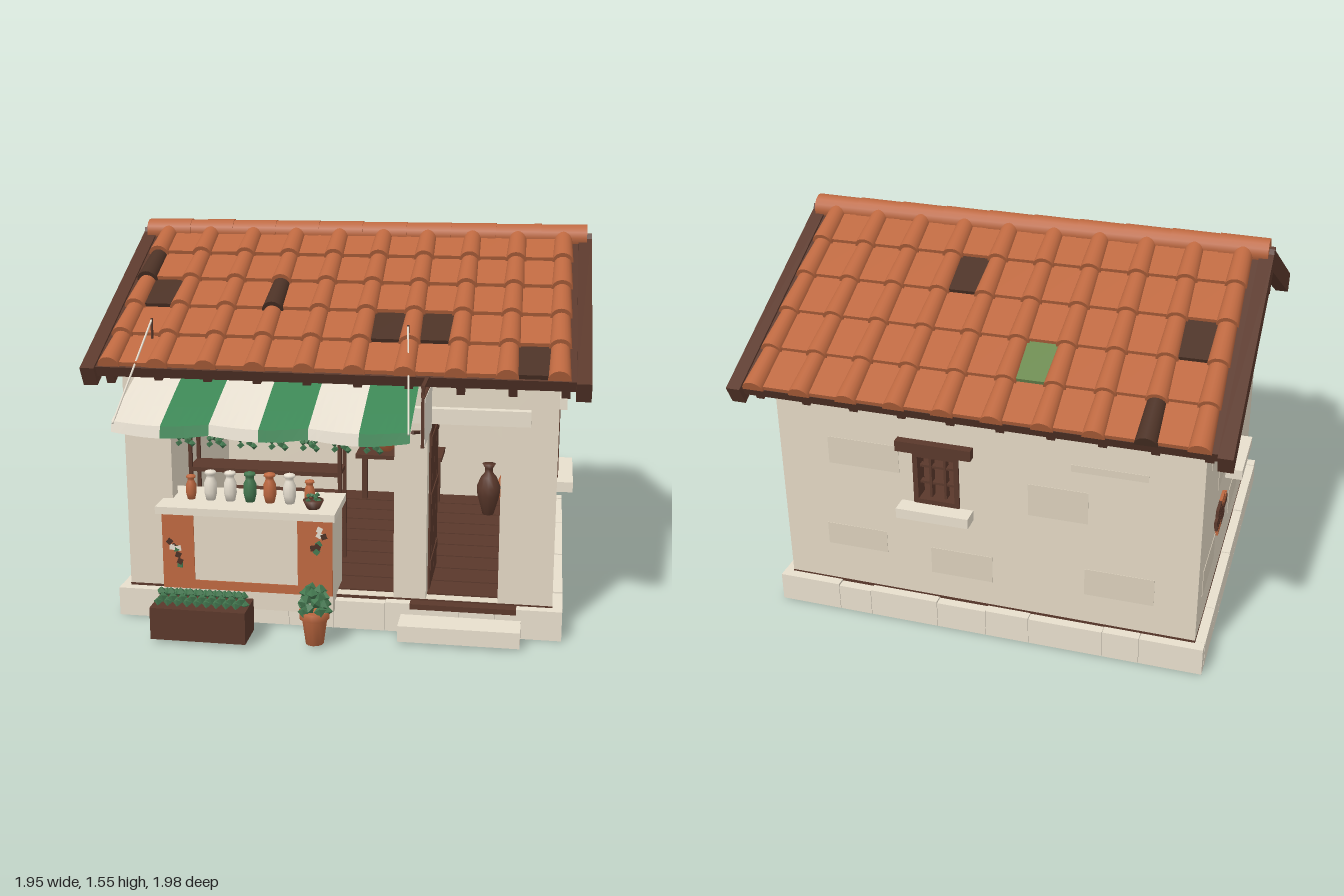
import * as THREE from 'three';

const mat = (name, color, side = THREE.FrontSide) => {
  const m = new THREE.MeshStandardMaterial({ color, side });
  m.name = name;
  return m;
};

export function createModel() {
  const plaster = mat('plaster', 0xe2d7c3), patch = mat('plaster patch', 0xdacfbb), stone = mat('stone', 0xe7decc);
  const cloth = mat('cream cloth', 0xe6decf, THREE.DoubleSide), green = mat('green cloth', 0x3c8655, THREE.DoubleSide);
  const tile = mat('terracotta', 0xbd6840, THREE.DoubleSide), burnt = mat('dark tile', 0x4c3226, THREE.DoubleSide);
  const wood = mat('wood', 0x5a382b), leaf = mat('leaf', 0x447850), moss = mat('mossy tile', 0x6c8a50);

  const model = new THREE.Group();
  model.name = 'tiledShop';
  const group = (name, parent = model) => {
    const g = new THREE.Group();
    g.name = name;
    parent.add(g);
    return g;
  };
  const add = (parent, name, geo, m, x = 0, y = 0, z = 0) => {
    const o = new THREE.Mesh(geo, m);
    o.name = name;
    o.position.set(x, y, z);
    parent.add(o);
    return o;
  };
  // Box given by its limits on each axis
  const box = (p, name, m, x0, x1, y0, y1, z0, z1) =>
    add(p, name, new THREE.BoxGeometry(x1 - x0, y1 - y0, z1 - z0), m, (x0 + x1) / 2, (y0 + y1) / 2, (z0 + z1) / 2);
  const rod = (p, name, m, a, b, r) => {
    const A = new THREE.Vector3(...a), B = new THREE.Vector3(...b);
    const o = add(p, name, new THREE.CylinderGeometry(r, r, A.distanceTo(B), 6), m);
    o.position.copy(A).lerp(B, 0.5);
    o.quaternion.setFromUnitVectors(new THREE.Vector3(0, 1, 0), B.sub(A).normalize());
    return o;
  };
  const lathe = (p, name, m, pts, x, y, z, s = 1) =>
    add(p, name, new THREE.LatheGeometry(pts.map(([r, h]) => new THREE.Vector2(r * s, h * s)), 12), m, x, y, z);
  let seed = 7;
  const rnd = () => (seed = (seed * 16807) % 2147483647) / 2147483647;

  // Plinth stones around a raised floor
  const base = group('plinth');
  const stones = (a, b, n, put) => {
    for (let i = 0; i < n; i++) {
      const cut = k => a + (b - a) * (k + (k > 0 && k < n ? 0.2 * Math.sin(k * 2.4) : 0)) / n;
      put(cut(i) + 0.001, cut(i + 1) - 0.001, 0.118 + 0.004 * Math.sin(i * 3));
    }
  };
  for (const [z0, z1] of [[0.62, 0.67], [-0.84, -0.79]])
    stones(-0.9, 0.9, 8, (a, b, h) => box(base, 'plinthStone', stone, a, b, 0, h, z0, z1));
  for (const x0 of [-0.9, 0.85])
    stones(-0.79, 0.62, 7, (a, b, h) => box(base, 'plinthStone', stone, x0, x0 + 0.05, 0, h, a, b));
  box(base, 'floor', burnt, -0.852, 0.852, 0.07, 0.115, -0.792, 0.622);
  box(base, 'floorEdge', wood, -0.861, 0.861, 0.115, 0.128, -0.801, 0.631);
  for (let i = 0; i < 9; i++)
    box(base, 'floorBoard', wood, -0.78, 0.78, 0.127, 0.136, -0.72 + i * 0.146, -0.585 + i * 0.146);
  box(base, 'doorStep', stone, 0.265, 0.74, 0.01, 0.075, 0.67, 0.79);
  box(base, 'threshold', wood, 0.3, 0.72, 0.1, 0.122, 0.62, 0.676);

  // Walls with openings
  const walls = group('walls');
  const wall = (name, outline, holes) => {
    const s = new THREE.Shape(outline.map(p => new THREE.Vector2(...p)));
    for (const [u0, u1, v0, v1] of holes)
      s.holes.push(new THREE.Path([[u0, v0], [u0, v1], [u1, v1], [u1, v0]].map(p => new THREE.Vector2(...p))));
    return add(walls, name, new THREE.ExtrudeGeometry(s, { depth: 0.07, bevelEnabled: false }), plaster);
  };
  const flat = [[-0.86, 0.12], [0.86, 0.12], [0.86, 1.09], [-0.86, 1.09]];
  wall('frontWall', flat, [[-0.67, 0.23, 0.13, 0.9], [0.36, 0.645, 0.13, 0.86]]).position.z = 0.56;
  wall('backWall', flat, [[0.1, 0.29, 0.57, 0.8]]).position.z = -0.8;
  const gable = [[-0.8, 0.12], [0.63, 0.12], [0.63, 1.08], [-0.09, 1.455], [-0.8, 1.085]];
  for (const [name, x, hole] of [['rightGable', 0.86, [-0.11, 0.16, 0.515, 0.815]], ['leftGable', -0.79, [-0.15, 0.04, 0.57, 0.8]]]) {
    const w = wall(name, gable, [hole]);
    w.rotation.y = -Math.PI / 2;
    w.position.x = x;
  }
  for (const s of [-1, 1]) box(walls, 'gableBand', plaster, s * 0.87 - 0.015, s * 0.87 + 0.015, 1.07, 1.12, -0.79, 0.62);
  box(walls, 'doorLintel', stone, 0.27, 0.755, 0.86, 0.92, 0.62, 0.665);

  // Faint plaster patches
  for (const [u, v, w, h] of [[-0.55, 0.32, 0.28, 0.12], [-0.3, 0.66, 0.24, 0.14], [0.5, 0.75, 0.3, 0.12], [0.55, 0.35, 0.26, 0.1], [-0.5, 0.83, 0.3, 0.03], [0.1, 0.3, 0.26, 0.12]]) {
    box(walls, 'plasterPatch', patch, u - w / 2, u + w / 2, v - h / 2, v + h / 2, -0.802, -0.798);
    for (const x of [-0.86, 0.86]) if (u < 0.5)
      box(walls, 'plasterPatch', patch, x - 0.002, x + 0.002, v - h / 2, v + h / 2, u - w / 2, u + w / 2);
  }
  // Exposed bricks in the left wall
  for (let r = 0; r < 4; r++) for (let c = 0; c < 3 - (r % 3 === 0); c++) {
    const z = -0.46 + c * 0.086 + (r % 2) * 0.03 + (r === 0 ? 0.05 : 0);
    box(walls, 'exposedBrick', (r + c) % 4 ? wood : tile, -0.872, -0.85, 0.37 + r * 0.033, 0.4 + r * 0.033, z, z + 0.082);
  }

  // Windows
  const makeWindow = (name, x, z, turn, w, y0, y1, lintel, uprights, bars) => {
    const g = group(name);
    g.position.set(x, 0, z);
    g.rotation.y = turn;
    const h = w / 2, f = 0.02;
    for (const s of [-1, 1]) box(g, 'jamb', wood, s * (h - f / 2) - f / 2, s * (h - f / 2) + f / 2, y0, y1, -0.06, 0.008);
    box(g, 'frameBottom', wood, -h, h, y0, y0 + f, -0.06, 0.008);
    box(g, 'frameTop', wood, -h, h, y1 - f, y1, -0.06, 0.008);
    for (const [u, t] of uprights) box(g, 'mullion', wood, u - t, u + t, y0, y1, -0.05, -0.015);
    for (const k of bars) {
      const y = y0 + (y1 - y0) * k;
      box(g, 'glazingBar', wood, -h, h, y - 0.005, y + 0.005, -0.045, -0.02);
    }
    box(g, 'lintel', lintel, -h - 0.06, h + 0.06, y1 + 0.01, y1 + 0.055, -0.02, 0.035);
    box(g, 'sill', stone, -h - 0.055, h + 0.055, y0 - 0.045, y0 - 0.002, -0.02, 0.07);
  };
  const grid = [[-0.03, 0.005], [0.03, 0.005]];
  makeWindow('rightWindow', 0.86, 0.025, Math.PI / 2, 0.27, 0.515, 0.815, stone, [[0, 0.012]], []);
  makeWindow('leftWindow', -0.86, -0.055, -Math.PI / 2, 0.19, 0.57, 0.8, wood, grid, [0.36, 0.68]);
  makeWindow('backWindow', 0.195, -0.8, Math.PI, 0.19, 0.57, 0.8, wood, grid, [0.36, 0.68]);

  // Door leaf standing open inwards
  const door = group('openDoor');
  for (let i = 0; i < 4; i++) box(door, 'doorPlank', wood, 0.36, 0.368, 0.14, 0.84, 0.25 + i * 0.078, 0.324 + i * 0.078);
  for (const y of [0.22, 0.5, 0.74]) box(door, 'doorBrace', wood, 0.366, 0.372, y, y + 0.04, 0.26, 0.55);

  // Roof slopes: local z runs down the slope
  const roof = group('roof'), pitch = Math.atan(0.505), step = 0.192;
  const makeSlope = (name, back, darkPans, darkCovers) => {
    const turn = group(name, roof);
    turn.position.set(0, 1.5, -0.09);
    turn.rotation.y = back ? Math.PI : 0;
    const g = group('slope', turn);
    g.rotation.x = pitch;
    box(g, 'deck', wood, -0.94, 0.94, -0.045, 0, 0, 0.965);
    for (const s of [-1, 1]) box(g, 'rakeBoard', wood, s * 0.945 - 0.028, s * 0.945 + 0.028, -0.076, 0.008, -0.02, 0.985);
    for (let i = 0; i < 10; i++)
      box(g, 'rafterTail', wood, -0.896 + i * 0.1956, -0.864 + i * 0.1956, -0.1, -0.04, 0.7, 0.94);
    const pan = new THREE.BoxGeometry(0.15, 0.018, step + 0.02);
    const cover = new THREE.CylinderGeometry(0.036, 0.043, step + 0.014, 10, 1, false, -Math.PI / 2, Math.PI).rotateX(-Math.PI / 2);
    for (let c = 0; c < 10; c++) for (let r = 0; r < 5; r++) {
      const x = -0.855 + c * 0.19, s = 0.002 + (r + 0.5) * step, key = c + '-' + r;
      if (c < 9) add(g, 'panTile', pan, darkPans[key] || tile, x + 0.095, 0.014, s).rotation.x = -0.08;
      add(g, 'coverTile', cover, darkCovers[key] || tile, x, 0.013, s + 0.015).rotation.x = -0.06;
    }
  };
  makeSlope('frontSlope', false, { '0-2': burnt, '5-3': burnt, '6-3': burnt, '8-4': burnt }, { '0-1': burnt, '3-2': burnt });
  makeSlope('backSlope', true, { '8-2': burnt, '3-1': burnt, '5-3': moss }, { '8-4': burnt });
  for (let i = 0; i < 10; i++)
    add(roof, 'ridgeTile', new THREE.CylinderGeometry(0.05, 0.053, 0.195, 14).rotateZ(Math.PI / 2), tile, -0.855 + i * 0.19, 1.502, -0.09);

  // Striped awning: straight slope, then a scalloped front edge
  const awning = group('awning');
  const profile = [[0.635, 1.035], [0.75, 0.995], [0.87, 0.95], [0.98, 0.908], [0.99, 0.868]];
  for (let i = 0; i < 6; i++) {
    const geo = new THREE.PlaneGeometry(0.186, 1, 6, 4).toNonIndexed(), p = geo.attributes.position;
    for (let k = 0; k < p.count; k++) {
      const x = -0.693 + i * 0.186 + p.getX(k), row = Math.round((0.5 - p.getY(k)) * 4);
      const sag = 0.018 * Math.abs(Math.sin((x + 0.786) / 0.372 * Math.PI)) * row / 4;
      p.setXYZ(k, x, profile[row][1] - sag, profile[row][0]);
    }
    geo.computeVertexNormals();
    add(awning, 'awningStripe', geo, i % 2 ? green : cloth);
  }
  for (const [a, b] of [[-0.78, -0.73], [0.325, 0.28]]) {
    rod(awning, 'rope', cloth, [a, 0.9, 0.985], [b, 1.23, 0.63], 0.004);
    rod(awning, 'ropeHook', wood, [b, 1.15, 0.63], [b, 1.235, 0.63], 0.005);
    rod(awning, 'strut', wood, [a + 0.01, 0.82, 0.64], [a + 0.01, 0.9, 0.95], 0.007);
    box(awning, 'bracket', wood, a + 0.01, a + 0.03, 0.8, 1.02, 0.63, 0.652);
  }

  // Hanging sign, blank
  const sign = group('hangingSign');
  box(sign, 'signArm', wood, 0.363, 0.377, 1.06, 1.07, 0.63, 0.93);
  box(sign, 'signBoard', wood, 0.364, 0.376, 0.837, 1.025, 0.657, 0.933);
  box(sign, 'signPanel', cloth, 0.362, 0.378, 0.842, 1.02, 0.662, 0.928);
  for (const z of [0.7, 0.89]) rod(sign, 'signHook', wood, [0.37, 1.02, z], [0.37, 1.065, z], 0.004);

  // Counter
  const counter = group('counter');
  box(counter, 'counterBody', plaster, -0.69, 0, 0.08, 0.47, 0.5, 0.72);
  box(counter, 'counterTop', stone, -0.71, 0.012, 0.47, 0.5, 0.46, 0.745);
  for (const [a, b, y0, y1] of [[-0.69, -0.56, 0.155, 0.47], [-0.14, 0, 0.155, 0.47], [-0.56, -0.14, 0.155, 0.192]])
    box(counter, 'counterPanel', tile, a, b, y0, y1, 0.719, 0.724);
  for (const [x, y] of [[-0.635, 0.3], [-0.055, 0.38]])
    for (let i = 0; i < 8; i++) {
      const o = add(counter, 'mosaicChip', new THREE.BoxGeometry(0.022, 0.022, 0.006), [burnt, cloth, burnt, leaf][i % 4],
        x + (rnd() - 0.5) * 0.05, y + (rnd() - 0.5) * 0.12, 0.725);
      o.rotation.z = rnd() * 3;
    }

  // Shelves, jars, urns and table
  const jar = [[0, 0], [0.017, 0], [0.024, 0.03], [0.024, 0.065], [0.015, 0.085], [0.015, 0.095], [0.022, 0.1], [0.02, 0.108], [0, 0.115]];
  const urn = [[0, 0], [0.025, 0], [0.05, 0.09], [0.053, 0.13], [0.035, 0.175], [0.018, 0.195], [0.018, 0.215], [0.03, 0.235], [0, 0.235]];
  const shelves = group('shelves');
  for (const y of [0.535, 0.72]) box(shelves, 'shelf', wood, -0.68, -0.03, y, y + 0.018, 0.22, 0.36);
  for (const x of [-0.68, -0.04]) for (const z of [0.22, 0.345]) box(shelves, 'shelfPost', wood, x, x + 0.015, 0.13, 0.755, z, z + 0.015);
  [tile, cloth, cloth, leaf, tile, cloth, tile].forEach((m, i) =>
    lathe(shelves, 'counterJar', m, jar, -0.595 + i * 0.081, 0.5, 0.62, i % 6 ? 1.1 : 0.9));
  [cloth, cloth, cloth, cloth, tile, cloth, cloth].forEach((m, i) =>
    lathe(shelves, 'shelfJar', m, jar, -0.595 + i * 0.081, 0.738, 0.29, 0.6 + 0.1 * (i % 3)));
  box(shelves, 'wallShelf', wood, 0.68, 0.79, 0.618, 0.63, 0.02, 0.18);
  lathe(shelves, 'wallShelfJar', cloth, jar, 0.74, 0.63, 0.06, 0.6);
  const table = group('table');
  box(table, 'tableTop', wood, -0.1, 0.32, 0.368, 0.388, -0.7, -0.5);
  for (const x of [-0.08, 0.28]) box(table, 'tableLeg', wood, x, x + 0.025, 0.13, 0.37, -0.62, -0.59);
  lathe(table, 'bowl', tile, [[0, 0], [0.025, 0], [0.055, 0.035], [0.045, 0.033], [0, 0.012]], 0.04, 0.388, -0.6);
  lathe(model, 'darkUrn', wood, urn, 0.55, 0.136, -0.45, 1.06);
  lathe(model, 'clayUrn', tile, urn, 0.645, 0.136, -0.5, 1.08);

  // Plants: clusters of faceted leaves
  const tuft = (p, x, y, z, rx, ry, rz, n, size) => {
    for (let i = 0; i < n; i++) {
      const a = i * 2.4, h = (i + 0.5) / n, k = Math.sqrt(1 - h * h * 0.8);
      const o = add(p, 'leafClump', new THREE.OctahedronGeometry(size, 0), leaf, x + Math.cos(a) * rx * k, y + h * ry, z + Math.sin(a) * rz * k);
      o.rotation.set(a, a * 2, 0);
    }
  };
  const planter = group('planterBox');
  box(planter, 'planter', wood, -0.69, -0.31, 0.015, 0.145, 0.77, 0.92);
  for (let i = 0; i < 9; i++) tuft(planter, -0.655 + i * 0.039, 0.145, 0.845, 0.015, 0.045, 0.05, 5, 0.02);
  const pot = group('pottedPlant');
  lathe(pot, 'pot', tile, [[0, 0], [0.036, 0], [0.05, 0.1], [0.06, 0.105], [0.06, 0.135], [0.05, 0.135], [0, 0.125]], -0.05, 0.012, 0.85);
  tuft(pot, -0.05, 0.145, 0.85, 0.048, 0.09, 0.048, 22, 0.025);
  const herb = group('counterHerb');
  lathe(herb, 'herbBowl', wood, [[0, 0], [0.025, 0], [0.042, 0.035], [0, 0.03]], -0.085, 0.5, 0.67);
  tuft(herb, -0.085, 0.53, 0.67, 0.025, 0.03, 0.025, 7, 0.011);

  // Herb bunches hung under the awning
  const bunches = group('hangingHerbs');
  for (let i = 0; i < 7; i++) {
    const x = -0.6 + i * 0.125;
    rod(bunches, 'herbString', wood, [x, 0.8, 0.665], [x, 0.95, 0.665], 0.004);
    tuft(bunches, x, 0.74, 0.665, 0.028, 0.08, 0.024, 14, 0.015);
  }
  return model;
}
